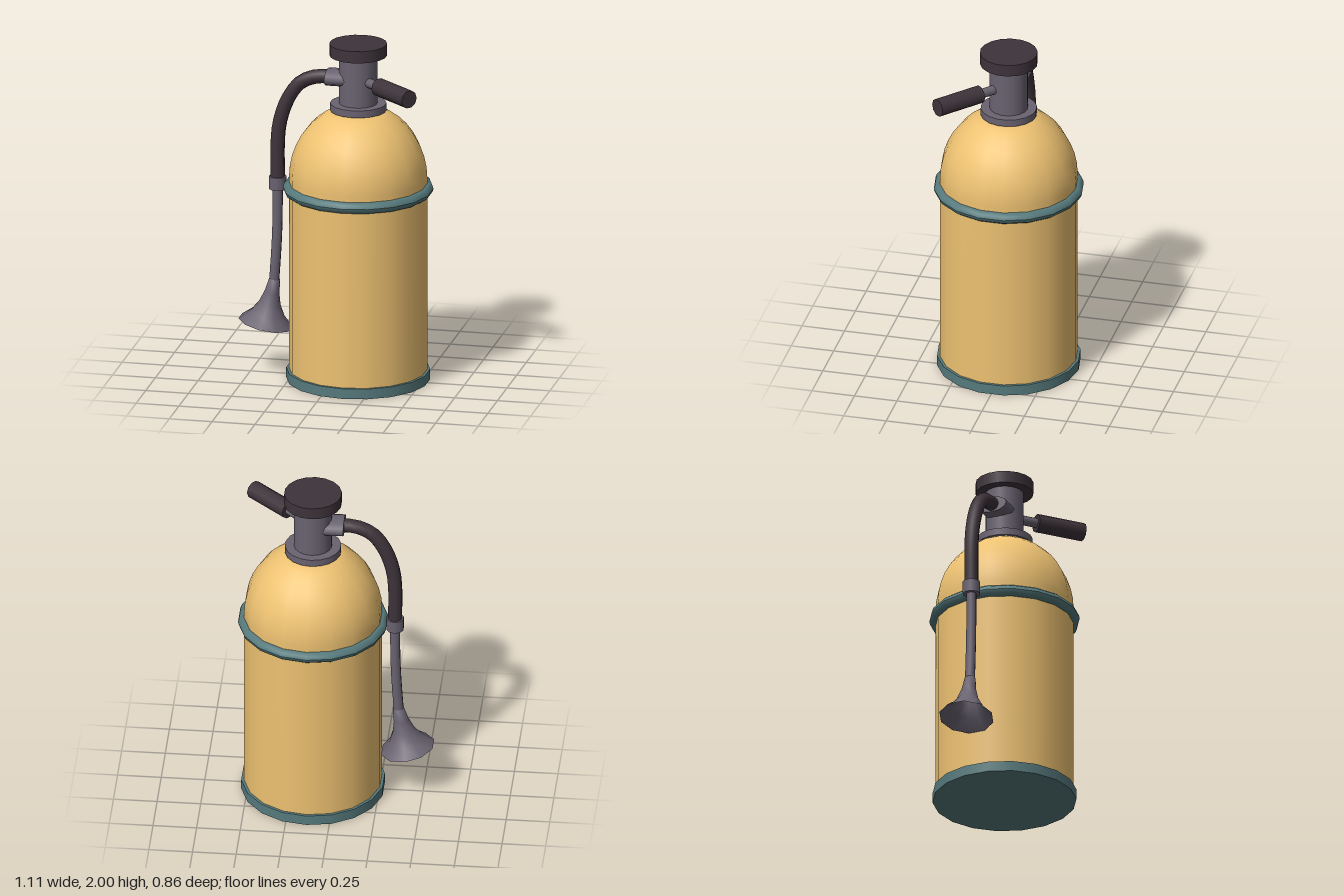
import * as THREE from 'three';

const CX = 0.13;      // axis of the bottle
const SIDES = 18;

const paint = (color) => new THREE.MeshStandardMaterial({ color, side: THREE.DoubleSide });
const v2 = (pts) => pts.map(([x, y]) => new THREE.Vector2(x, y));

export function createModel() {
  const root = new THREE.Group();
  root.name = 'fireExtinguisher';
  const yellow = paint(0xeec272);
  const teal = paint(0x567a7d);
  const grey = paint(0x6a6371);
  const dark = paint(0x3e343b);

  const add = (name, geometry, material, x = 0, y = 0, z = 0, parent = root) => {
    const mesh = new THREE.Mesh(geometry, material);
    mesh.name = name;
    mesh.position.set(x, y, z);
    parent.add(mesh);
    return mesh;
  };
  // Upright cylinder on the bottle axis, between two heights
  const disc = (name, r, y0, y1, material) =>
    add(name, new THREE.CylinderGeometry(r, r, y1 - y0, SIDES), material, CX, (y0 + y1) / 2, 0);
  // Smooth tube through points in the z = 0 plane
  const pipe = (name, pts, r, segments, material) => {
    const curve = new THREE.CatmullRomCurve3(pts.map(([x, y]) => new THREE.Vector3(x, y, 0)));
    return add(name, new THREE.TubeGeometry(curve, segments, r, 10), material);
  };

  // Bottle: straight wall and rounded shoulder
  const wall = [[0.395, 0.03], [0.395, 1.2]];
  for (let i = 1; i <= 8; i++) {
    const a = (i / 8) * 1.21;
    wall.push([0.395 * Math.cos(a), 1.2 + 0.432 * Math.sin(a)]);
  }
  wall.push([0, 1.606]);
  add('bottle', new THREE.LatheGeometry(v2(wall), SIDES), yellow, CX);

  // Foot and rounded band
  disc('foot', 0.411, 0, 0.06, teal);
  const band = [];
  for (let i = 0; i <= 10; i++) {
    const a = (i / 10) * Math.PI * 2;
    band.push([0.396 + 0.034 * Math.cos(a), 1.138 + 0.034 * Math.sin(a)]);
  }
  add('band', new THREE.LatheGeometry(v2(band), SIDES), teal, CX);

  // Valve: collar, neck and cap
  disc('collar', 0.161, 1.603, 1.645, grey);
  disc('neck', 0.109, 1.64, 1.94, grey);
  disc('cap', 0.165, 1.93, 2, dark);

  // Handle pointing forward and to the model's left
  const handle = new THREE.Group();
  handle.name = 'handle';
  handle.position.set(CX, 1.788, 0);
  handle.rotation.y = -0.72;
  root.add(handle);
  const bar = (name, r, x0, x1, material) => {
    const g = new THREE.CylinderGeometry(r, r, x1 - x0, 10).rotateZ(Math.PI / 2);
    add(name, g, material, (x0 + x1) / 2, 0, 0, handle);
  };
  bar('handleRod', 0.028, 0.08, 0.22, grey);
  bar('handleGrip', 0.053, 0.2, 0.493, dark);

  // Flattened outlet on the side of the neck
  const outlet = new THREE.CylinderGeometry(1, 1, 0.16, 12).rotateZ(Math.PI / 2).scale(1, 0.047, 0.09);
  add('outlet', outlet, grey, 0.03, 1.79, 0);

  // Hose, coupling and lower pipe
  pipe('hose', [[-0.03, 1.79], [-0.11, 1.787], [-0.2, 1.75], [-0.25, 1.695], [-0.295, 1.61],
    [-0.328, 1.5], [-0.34, 1.39], [-0.34, 1.16]], 0.041, 16, dark);
  add('coupling', new THREE.CylinderGeometry(0.051, 0.051, 0.075, 10), grey, -0.34, 1.138, 0);
  pipe('lowerPipe', [[-0.34, 1.12], [-0.342, 0.9], [-0.348, 0.75], [-0.361, 0.55]], 0.029, 8, grey);

  // Flared horn, open at the mouth and tilted outwards
  const horn = [[0.158, -0.27], [0.098, -0.21], [0.064, -0.15], [0.043, -0.08], [0.032, 0], [0, 0]];
  add('horn', new THREE.LatheGeometry(v2(horn), 10), grey, -0.358, 0.56, 0).rotation.z = -0.2;

  return root;
}
